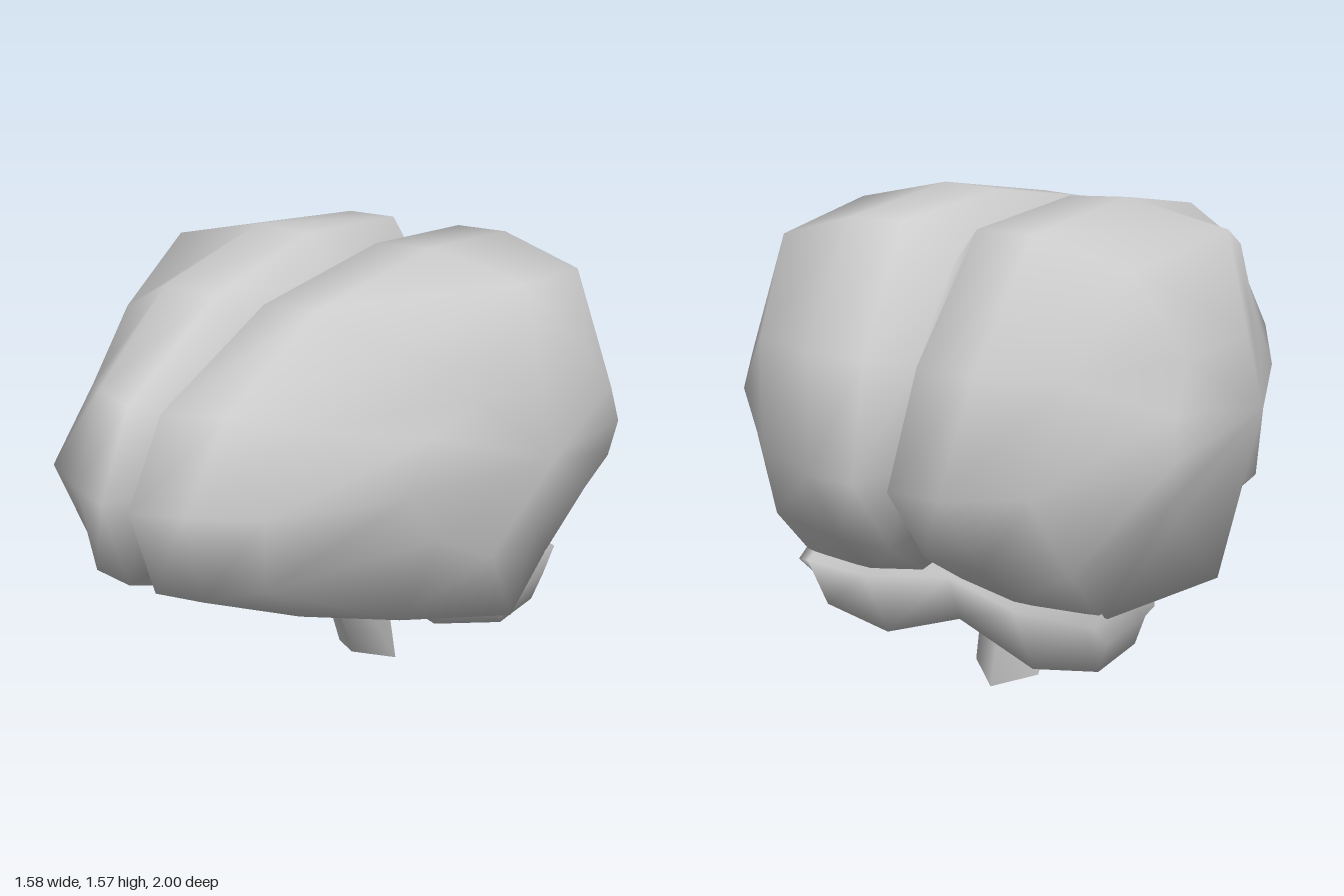
import * as THREE from 'three';

const material = new THREE.MeshStandardMaterial({ color: 0xcccccc });

// Skin closed rings of [x, y, z] smoothly; a ring holding one point is a pole.
function loft(name, rings) {
  const n = Math.max(...rings.map(r => r.length));
  const pos = [], idx = [], start = [];
  for (const ring of rings) {
    start.push(pos.length / 3);
    ring.forEach(p => pos.push(...p));
  }
  for (let i = 0; i < rings.length - 1; i++) {
    const at = (k, j) => start[k] + (j % n) % rings[k].length;
    for (let j = 0; j < n; j++) {
      const a = at(i, j), b = at(i, j + 1), c = at(i + 1, j), d = at(i + 1, j + 1);
      if (c !== d) idx.push(a, c, d);
      if (a !== b) idx.push(a, d, b);
    }
  }
  const geo = new THREE.BufferGeometry();
  geo.setAttribute('position', new THREE.Float32BufferAttribute(pos, 3));
  geo.setIndex(idx);
  geo.computeVertexNormals();
  const mesh = new THREE.Mesh(geo, material);
  mesh.name = name;
  return mesh;
}

// Mirror the outer rings across x = 0 around the middle ring.
function symmetric(middle, outer) {
  const flipped = outer.map(r => r.map(([x, y, z]) => [-x, y, z])).reverse();
  return [...flipped, middle, ...outer];
}

// Cerebrum slices, each running front, top, back, underside.
const groove = [
  [0, 1.0, 0.88], [0, 1.2, 0.76], [0, 1.36, 0.38], [0, 1.43, -0.12],
  [0, 1.40, -0.58], [0, 1.15, -0.76], [0, 0.86, -0.84], [0, 0.66, -0.72],
  [0, 0.58, -0.6], [0, 0.6, -0.1], [0, 0.6, 0.38], [0, 0.76, 0.8],
];
const rim = [
  [0.05, 1.0, 1.0], [0.06, 1.25, 0.86], [0.09, 1.47, 0.42], [0.13, 1.56, -0.12],
  [0.13, 1.53, -0.64], [0.09, 1.18, -0.89], [0.06, 0.85, -1.0], [0.06, 0.6, -0.83],
  [0.07, 0.48, -0.66], [0.07, 0.54, -0.1], [0.06, 0.53, 0.4], [0.05, 0.72, 0.9],
];
const crown = [
  [0.2, 1.0, 0.94], [0.23, 1.25, 0.79], [0.28, 1.48, 0.42], [0.33, 1.57, -0.12],
  [0.31, 1.53, -0.64], [0.28, 1.18, -0.9], [0.22, 0.85, -0.99], [0.25, 0.6, -0.83],
  [0.26, 0.45, -0.67], [0.28, 0.5, -0.1], [0.2, 0.49, 0.4], [0.2, 0.72, 0.87],
];
const shoulder = [
  [0.39, 1.0, 0.83], [0.4, 1.2, 0.63], [0.49, 1.37, 0.36], [0.66, 1.5, -0.12],
  [0.6, 1.45, -0.6], [0.53, 1.18, -0.81], [0.46, 0.87, -0.91], [0.52, 0.62, -0.79],
  [0.53, 0.43, -0.62], [0.66, 0.415, -0.12], [0.5, 0.52, 0.3], [0.33, 0.74, 0.75],
];
const flank = [
  [0.59, 0.97, 0.42], [0.59, 1.12, 0.29], [0.64, 1.2, 0.11], [0.73, 1.2, -0.12],
  [0.72, 1.2, -0.49], [0.74, 1.07, -0.61], [0.76, 0.95, -0.64], [0.74, 0.83, -0.62],
  [0.71, 0.74, -0.52], [0.735, 0.74, -0.12], [0.69, 0.7, 0.08], [0.61, 0.8, 0.27],
];
const temple = [[0.79, 0.98, -0.12]];

// Cerebellum slice: domed top, projecting back rim, narrower base.
const lobe = (x, front, back, rimY, low, baseFront, baseBack) => [
  [x, rimY - 0.07, front], [x, rimY + 0.08, front], [x, rimY + 0.12, (front + back) / 2],
  [x, rimY, back], [x, low, baseBack], [x, low, baseFront],
];

export function createModel() {
  const model = new THREE.Group();
  model.name = 'brain';

  model.add(loft('cerebrum', symmetric(groove, [rim, crown, shoulder, flank, temple])));

  model.add(loft('cerebellum', symmetric(lobe(0, -0.2, -0.63, 0.46, 0.3, -0.3, -0.57), [
    lobe(0.27, -0.19, -0.69, 0.43, 0.2, -0.31, -0.58),
    lobe(0.5, -0.25, -0.68, 0.43, 0.25, -0.36, -0.59),
    lobe(0.535, -0.3, -0.68, 0.43, 0.35, -0.36, -0.6),
    [[0.535, 0.42, -0.46]],
  ])));

  // Diamond-section stem leans back as it goes down, with a sloping cut end.
  const stem = (w, yFront, zFront, yBack, zBack) => {
    const ySide = (yFront + yBack) / 2, zSide = (zFront + zBack) / 2;
    return [[0, yFront, zFront], [-w, ySide, zSide], [0, yBack, zBack], [w, ySide, zSide]];
  };
  model.add(loft('brainStem', [
    [[0, 0.03, -0.3]],
    stem(0.12, 0.06, -0.2, 0, -0.4),
    stem(0.16, 0.62, 0.02, 0.62, -0.23),
    [[0, 0.62, -0.1]],
  ]));

  return model;
}
